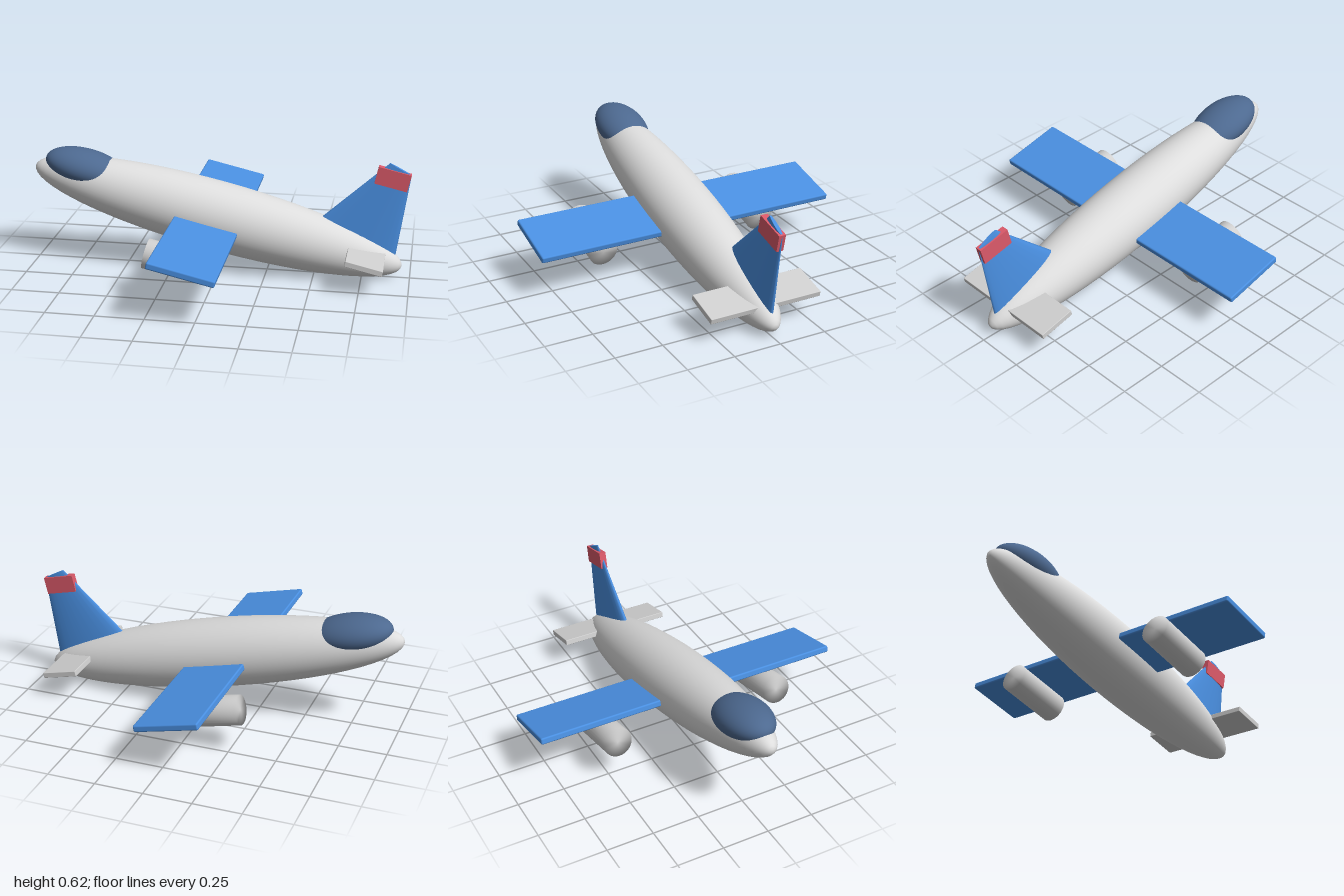
import * as THREE from 'three';
import { mergeVertices } from 'three/addons/utils/BufferGeometryUtils.js';
import { RoundedBoxGeometry } from 'three/addons/geometries/RoundedBoxGeometry.js';

const material = (name, color) => {
  const m = new THREE.MeshStandardMaterial({ color });
  m.name = name;
  return m;
};

export function createModel() {
  const hull = material('light grey', 0xdddddd);
  const metal = material('silver grey', 0xd0d0d0);
  const blue = material('wing blue', 0x4a90e2);
  const glass = material('canopy blue', 0x4d6990);
  const red = material('red', 0xdc5a6a);

  // The plane is built level with its nose at -x, then pitched nose up
  const plane = new THREE.Group();
  plane.name = 'plane';
  plane.rotation.z = -0.227;
  plane.position.set(-0.022, 0.288, 0);

  const add = (name, geometry, mat, x, y, z = 0) => {
    const mesh = new THREE.Mesh(geometry, mat);
    mesh.name = name;
    mesh.position.set(x, y, z);
    plane.add(mesh);
    return mesh;
  };

  // Ellipsoid with its poles at nose and tail
  const ellipsoid = (a, b, c) =>
    new THREE.SphereGeometry(1, 48, 32).rotateZ(Math.PI / 2).scale(a, b, c);

  // Fuselage and canopy
  add('fuselage', ellipsoid(1.003, 0.183, 0.183), hull, 0, 0);
  add('canopy', ellipsoid(0.22, 0.095, 0.133), glass, -0.735, 0.065);

  // Wing and tailplane, each one slab through the body
  add('wing', new RoundedBoxGeometry(0.34, 0.035, 1.68, 2, 0.008), blue, -0.028, -0.016);
  add('tailplane', new RoundedBoxGeometry(0.195, 0.03, 0.61, 2, 0.003), metal, 0.806, 0.049);

  // Engines under the wing, shaded softly over their ends
  let engine = new THREE.CylinderGeometry(0.077, 0.077, 0.325, 32).rotateZ(Math.PI / 2);
  engine.deleteAttribute('normal');
  engine.deleteAttribute('uv');
  engine = mergeVertices(engine);
  engine.computeVertexNormals();
  for (const side of [1, -1])
    add(side > 0 ? 'leftEngine' : 'rightEngine', engine, metal, -0.097, -0.117, side * 0.465);

  // Fin: a flattened, swept frustum whose root is sunk in the fuselage
  const fin = new THREE.CylinderGeometry(0.063, 0.228, 0.46, 24)
    .translate(0, 0.18, 0).scale(1, 1, 0.157);
  add('fin', fin, blue, 0.753, 0.115).rotation.z = -0.262;

  // Red block across the fin tip
  add('finTip', new THREE.BoxGeometry(0.172, 0.092, 0.037), red, 0.834, 0.451);

  const model = new THREE.Group();
  model.name = 'airplane';
  model.add(plane);
  return model;
}
